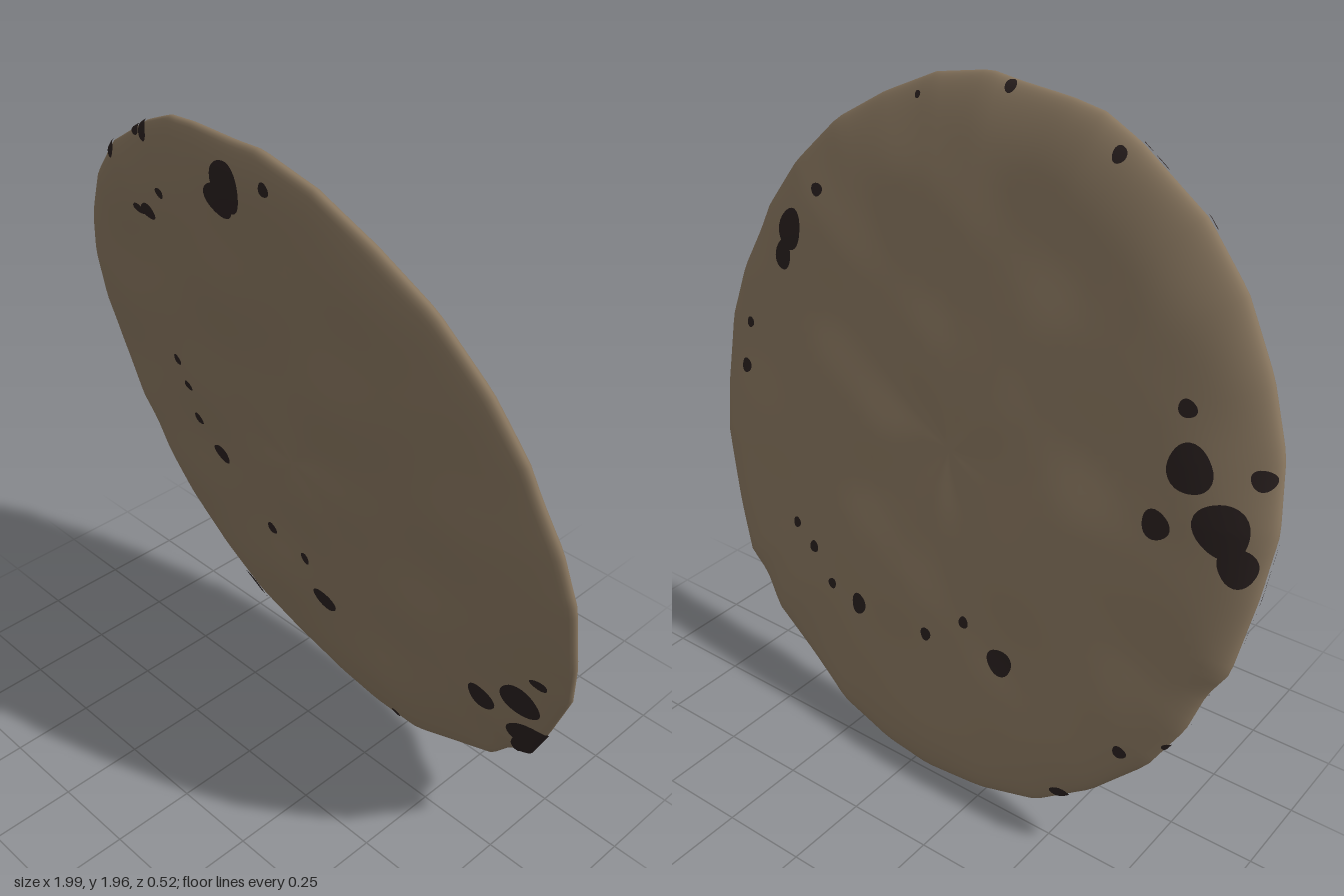
import * as THREE from 'three';
import { mergeVertices } from 'three/addons/utils/BufferGeometryUtils.js';

const CENTRE_Y = 0.985;
const FRONT_DEPTH = 0.06;
const BACK_DEPTH = 0.064;

// Uneven outline of the slab, anticlockwise from the right (x, y)
const outline = [
  [0.995, 1.08], [0.96, 1.24], [0.9, 1.37], [0.87, 1.45], [0.77, 1.6], [0.62, 1.75], [0.45, 1.85], [0.27, 1.93],
  [0.08, 1.965], [-0.02, 1.955], [-0.2, 1.945], [-0.31, 1.93], [-0.43, 1.88], [-0.65, 1.75], [-0.79, 1.61],
  [-0.9, 1.44], [-0.97, 1.28], [-1, 1.1], [-0.985, 0.93], [-0.95, 0.72], [-0.9, 0.64], [-0.86, 0.52],
  [-0.77, 0.37], [-0.62, 0.22], [-0.45, 0.1], [-0.26, 0.04], [-0.05, 0.005], [0.12, 0.005], [0.32, 0.04],
  [0.48, 0.13], [0.65, 0.22], [0.72, 0.31], [0.8, 0.36], [0.87, 0.5], [0.96, 0.71], [0.985, 0.86],
].map(([x, y]) => {
  const a = Math.atan2(y - CENTRE_Y, x);
  return { a: a < 0 ? a + Math.PI * 2 : a, r: Math.hypot(x, y - CENTRE_Y) };
}).sort((p, q) => p.a - q.a);

function rimRadius(angle) {
  const turn = Math.PI * 2;
  const a = ((angle % turn) + turn) % turn;
  let k = outline.findIndex((p) => p.a > a);
  if (k < 0) k = 0;
  const next = outline[k];
  const prev = outline[(k + outline.length - 1) % outline.length];
  const span = (next.a - prev.a + turn) % turn;
  const part = (a - prev.a + turn) % turn;
  // Straight chord between neighbouring outline points
  return (prev.r * next.r * Math.sin(span))
    / (prev.r * Math.sin(span - part) + next.r * Math.sin(part)
      + (prev.r - next.r) * (Math.sin(part) - Math.sin(span - part)));
}

// Soft lumps and faint creases running out from the middle
function lumps(x, y, angle, t, side) {
  const s = side * 1.7;
  const soft = Math.sin(7 * x + 3 * y + s) * Math.sin(8 * y - 2 * x + 1 + s)
    + 0.6 * Math.sin(13 * x - 6 * y + 2 + s) * Math.sin(12 * y + 5 * x);
  const crease = Math.sin(5 * angle + 4 * t + s) * t * Math.exp(-4 * t) * 4;
  return 0.006 * soft + 0.004 * crease;
}

// Point on the leaning slab; t runs from the middle (0) to the rim (1)
function surface(angle, t, side, lift = 0) {
  const r = rimRadius(angle) * t;
  const x = r * Math.cos(angle);
  const y = r * Math.sin(angle);
  const fade = 1 - t ** 8;
  const depth = (side > 0 ? FRONT_DEPTH : BACK_DEPTH - 0.008 * x) * Math.sqrt(Math.max(0, 1 - t ** 6));
  const bend = 0.005 * Math.sin(5 * angle + 1) * t * t - 0.012 * x * x;
  const z = 0.091 * x + 0.222 * y + bend + side * (depth + lift) + lumps(x, y, angle, t, side) * fade;
  const grow = 1 + lift * t ** 6;
  return [x * grow, CENTRE_Y + y * grow, z];
}

function makeGeometry(points, index) {
  const g = new THREE.BufferGeometry();
  g.setAttribute('position', new THREE.Float32BufferAttribute(points.flat(), 3));
  g.setIndex(index);
  const merged = mergeVertices(g, 1e-5);
  merged.computeVertexNormals();
  return merged;
}

// Closed grid of rings around the middle
function ringIndex(rings, segs, flip) {
  const index = [];
  for (let i = 0; i < rings; i++) {
    for (let j = 0; j < segs; j++) {
      const k = (j + 1) % segs;
      const a = i * segs + j, b = (i + 1) * segs + j, c = (i + 1) * segs + k, d = i * segs + k;
      if (flip) index.push(a, c, b, a, d, c);
      else index.push(a, b, c, a, c, d);
    }
  }
  return index;
}

function slabGeometry() {
  const rings = 60, segs = 180, points = [];
  for (let i = 0; i <= rings; i++) {
    const phi = (i / rings) * Math.PI;
    const side = i * 2 <= rings ? 1 : -1;
    const t = i === 0 || i === rings ? 0 : Math.sin(phi);
    for (let j = 0; j < segs; j++) points.push(surface((j / segs) * Math.PI * 2, t, side));
  }
  return makeGeometry(points, ringIndex(rings, segs, false));
}

// Thin patch that hugs one face and stops at the rim
function spotGeometry([cx, cy, rx, ry = rx], side) {
  const rings = 6, segs = 28, points = [];
  for (let i = 0; i <= rings; i++) {
    for (let j = 0; j < segs; j++) {
      const a = (j / segs) * Math.PI * 2;
      const wobble = 1 + 0.05 * Math.sin(3 * a + cx * 20);
      const x = cx + (i / rings) * rx * wobble * Math.cos(a);
      const y = cy - CENTRE_Y + (i / rings) * ry * wobble * Math.sin(a);
      const angle = Math.atan2(y, x);
      points.push(surface(angle, Math.min(1, Math.hypot(x, y) / rimRadius(angle)), side, 0.004));
    }
  }
  return makeGeometry(points, ringIndex(rings, segs, side < 0));
}

// Spots: x, y, half width, half height
const frontSpots = [
  [-0.045, 1.835, 0.06, 0.068], [-0.085, 1.785, 0.058, 0.045], [0.115, 1.88, 0.018],
  [-0.44, 1.85, 0.022, 0.03], [-0.49, 1.84, 0.025, 0.02], [-0.65, 1.73, 0.025], [-0.375, 1.7, 0.02, 0.014],
  [-0.46, 1.615, 0.035, 0.022], [-0.51, 1.605, 0.03, 0.013],
  [-0.51, 1.095, 0.018], [-0.485, 1.01, 0.02, 0.016], [-0.49, 0.875, 0.021], [-0.405, 0.78, 0.04, 0.03],
  [-0.2, 0.6, 0.021], [-0.05, 0.57, 0.018, 0.022], [0.01, 0.43, 0.05, 0.037], [0.25, 0.085, 0.017],
  [-0.47, 0.15, 0.055, 0.04], [-0.44, 0.12, 0.03, 0.04],
  [0.675, 0.535, 0.045], [0.81, 0.62, 0.06], [0.88, 0.74, 0.026, 0.018],
  [0.82, 0.46, 0.07, 0.06], [0.79, 0.38, 0.04, 0.06],
  [-0.99, 0.91, 0.025, 0.18], [-0.92, 0.66, 0.035, 0.05], [-0.86, 0.55, 0.025, 0.04],
];
const backSpots = [
  [0.726, 1.42, 0.05, 0.06], [0.746, 1.34, 0.035, 0.045], [0.63, 1.555, 0.024, 0.018], [0.876, 1.095, 0.016],
  [0.873, 0.96, 0.022], [0.3, 1.87, 0.01], [-0.01, 1.94, 0.018, 0.015], [-0.39, 1.85, 0.02],
  [-0.718, 1.335, 0.027, 0.022], [-0.757, 1.2, 0.065, 0.06], [-0.695, 1.038, 0.042, 0.037],
  [-0.87, 1.085, 0.075, 0.065], [-0.925, 1.01, 0.05, 0.05], [-0.94, 1.225, 0.03, 0.025],
  [0.565, 0.56, 0.016], [0.478, 0.515, 0.018], [0.386, 0.43, 0.016], [0.265, 0.415, 0.029, 0.032],
  [-0.012, 0.44, 0.019], [-0.142, 0.532, 0.017], [-0.285, 0.472, 0.043, 0.037],
  [-0.7, 0.4, 0.02, 0.018], [-0.82, 0.46, 0.012], [-0.53, 0.18, 0.028, 0.018],
];

export function createModel() {
  const crust = new THREE.MeshStandardMaterial({ color: 0x87755e });
  crust.name = 'brown crust';
  const char = new THREE.MeshStandardMaterial({ color: 0x281f1e });
  char.name = 'dark char';

  const model = new THREE.Group();
  model.name = 'spottedDisc';

  const slab = new THREE.Mesh(slabGeometry(), crust);
  slab.name = 'slab';
  model.add(slab);

  // Dark spots on both faces
  for (const [name, spots, side] of [['frontSpots', frontSpots, 1], ['backSpots', backSpots, -1]]) {
    const group = new THREE.Group();
    group.name = name;
    spots.forEach((spot, i) => {
      const mesh = new THREE.Mesh(spotGeometry(spot, side), char);
      mesh.name = `spot${i + 1}`;
      group.add(mesh);
    });
    model.add(group);
  }
  return model;
}
